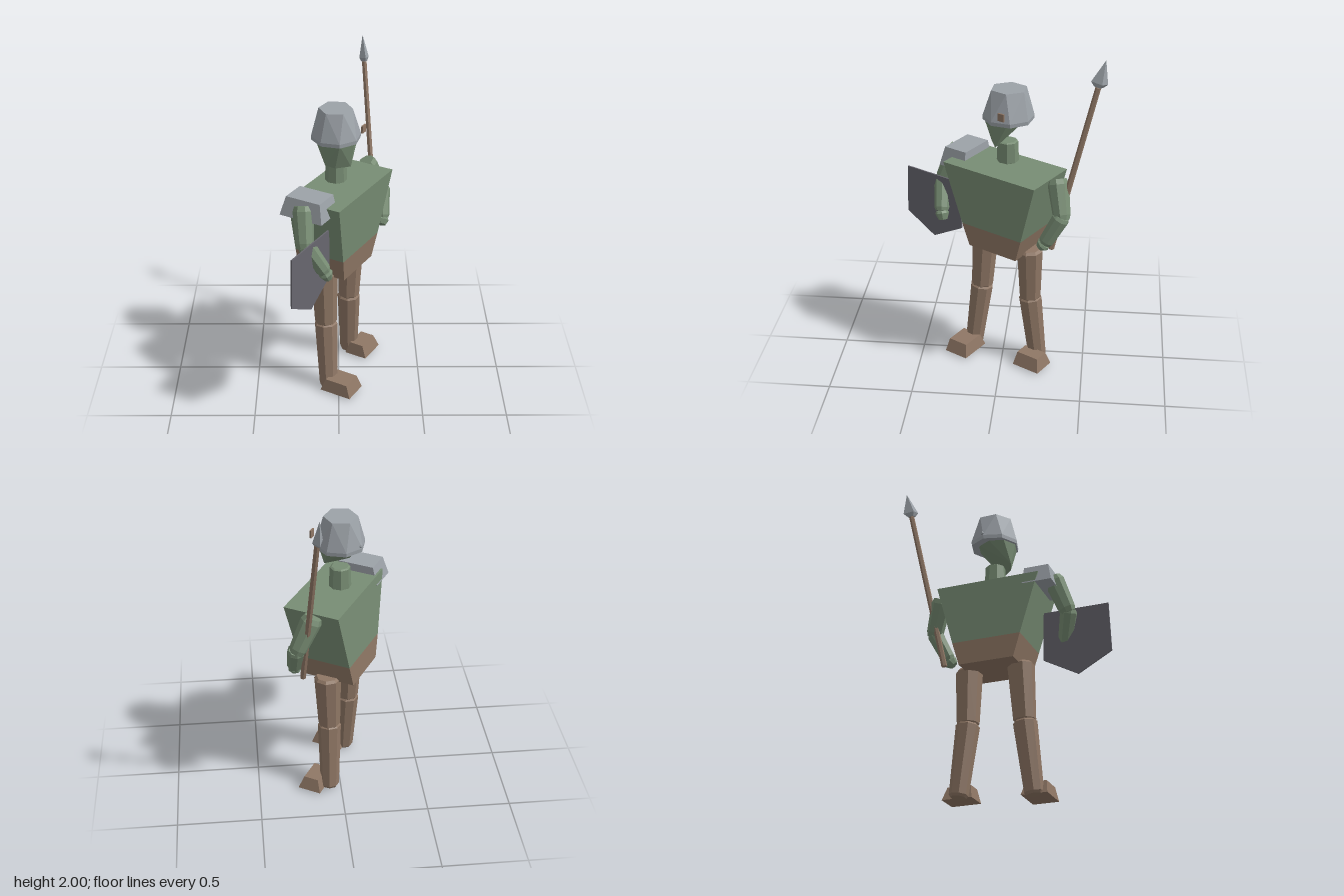
import * as THREE from 'three';
import { ConvexGeometry } from 'three/addons/geometries/ConvexGeometry.js';

const V = (x, y, z) => new THREE.Vector3(x, y, z);

function material(name, color) {
  const m = new THREE.MeshStandardMaterial({ color });
  m.name = name;
  return m;
}

export function createModel() {
  const green = material('green skin', 0x788d74);
  const brown = material('brown leather', 0x8f7765);
  const steel = material('pale steel', 0x9ca2a8);
  const iron = material('dark iron', 0x67666e);

  const model = new THREE.Group();
  model.name = 'spearGuard';
  // The body faces sixty degrees to the side, the head looks straight ahead
  const body = new THREE.Group();
  body.name = 'body';
  body.rotation.y = Math.PI / 3;
  model.add(body);

  function add(parent, name, geometry, mat) {
    const mesh = new THREE.Mesh(geometry, mat);
    mesh.name = name;
    parent.add(mesh);
    return mesh;
  }

  // Faceted solid from two rectangles [x0, x1, z0, z1] at two heights
  function block(name, y0, low, y1, high, mat) {
    const pts = [];
    for (const [y, r] of [[y0, low], [y1, high]])
      for (const x of [r[0], r[1]]) for (const z of [r[2], r[3]]) pts.push(V(x, y, z));
    return add(body, name, new ConvexGeometry(pts), mat);
  }

  // Ring of points around the y axis
  function ring(n, y, rx, rz = rx, phase = 0, cx = 0, cz = 0) {
    return Array.from({ length: n }, (_, i) => {
      const a = phase + (i / n) * Math.PI * 2;
      return V(cx + Math.sin(a) * rx, y, cz + Math.cos(a) * rz);
    });
  }

  // Eight-sided tapered limb with bevelled ends, from a to b
  function limb(name, a, b, r0, r1, mat, bevel = 0.015, sides = 8) {
    const start = V(...a), dir = V(...b).sub(start), len = dir.length();
    const pts = [
      ...ring(sides, 0, r0 * 0.82), ...ring(sides, bevel, r0),
      ...ring(sides, len - bevel, r1), ...ring(sides, len, r1 * 0.82),
    ];
    const mesh = add(model, name, new ConvexGeometry(pts), mat);
    mesh.position.copy(start);
    mesh.quaternion.setFromUnitVectors(V(0, 1, 0), dir.normalize());
    return mesh;
  }

  // Trunk
  const waist = [-0.197, 0.223, -0.18, 0.144];
  block('torso', 0.905, waist, 1.29, [-0.303, 0.336, -0.16, 0.178], green);
  block('pelvis', 0.76, [-0.157, 0.178, -0.185, 0.128], 0.905, waist, brown);

  // Shoulder guard
  block('shoulderGuard', 1.225, [-0.385, -0.205, -0.165, 0.11],
    1.338, [-0.36, -0.21, -0.135, 0.085], steel);

  // Feet
  block('rightFoot', 0.012, [-0.275, -0.118, 0.03, 0.233],
    0.09, [-0.262, -0.135, 0.06, 0.205], brown);
  block('leftFoot', 0.012, [0.152, 0.333, -0.035, 0.11],
    0.09, [0.165, 0.31, -0.01, 0.08], brown);

  // Legs
  const legs = [
    ['right', [-0.085, 0.785, 0.115], [-0.077, 0.425, 0.137], [-0.062, 0.008, 0.19]],
    ['left', [0.073, 0.785, -0.165], [0.064, 0.435, -0.17], [0.067, 0.008, -0.22]],
  ];
  for (const [side, hip, knee, ankle] of legs) {
    limb(side + 'Thigh', hip, knee, 0.08, 0.066, brown);
    limb(side + 'Shin', [knee[0], knee[1] + 0.015, knee[2]], ankle, 0.07, 0.056, brown);
  }

  // Arms
  const arms = [
    ['right', [-0.2, 1.3, 0.29], [-0.19, 1.08, 0.385], [-0.08, 0.925, 0.38], [-0.06, 0.875, 0.37]],
    ['left', [0.165, 1.29, -0.325], [0.265, 1.08, -0.36], [0.27, 0.93, -0.265], [0.265, 0.9, -0.235]],
  ];
  for (const [side, shoulder, elbow, wrist, hand] of arms) {
    limb(side + 'UpperArm', shoulder, elbow, 0.062, 0.052, green, 0.03);
    limb(side + 'Forearm', [elbow[0], elbow[1] + 0.025, elbow[2]], wrist, 0.052, 0.045, green, 0.02);
    limb(side + 'Hand', wrist, hand, 0.042, 0.032, green);
  }

  // Neck and wedge-shaped face
  limb('neck', [-0.015, 1.308, -0.025], [-0.015, 1.44, -0.025], 0.065, 0.06, green, 0.006);
  add(model, 'face', new ConvexGeometry([
    ...ring(8, 1.585, 0.125, 0.128, 0.14, -0.012, -0.015),
    V(-0.078, 1.442, 0.06), V(-0.02, 1.425, 0.068), V(0.07, 1.425, 0.04),
  ]), green);

  // Helmet: eight-sided rim rising to a six-sided crown
  add(model, 'helmet', new ConvexGeometry([
    ...ring(8, 1.572, 0.143, 0.147, 0.14, -0.015, -0.028),
    ...ring(8, 1.595, 0.145, 0.149, 0.14, -0.015, -0.028),
    ...ring(6, 1.757, 0.098, 0.108, 0.45, -0.017, -0.03),
  ]), steel);
  limb('helmetRivet', [-0.1, 1.61, -0.1], [-0.128, 1.61, -0.128], 0.012, 0.01, steel, 0.004, 6);
  const tab = add(body, 'visorTab', new THREE.BoxGeometry(0.04, 0.045, 0.01), brown);
  tab.position.set(0.071, 1.643, 0.123);

  // Shield: thin pentagonal plate
  const outline = [[-0.655, 1.13], [-0.665, 0.825], [-0.46, 0.71], [-0.25, 0.825], [-0.255, 1.13]];
  const shape = new THREE.Shape(outline.map(([x, y]) => new THREE.Vector2(x, y)));
  const shield = add(body, 'shield',
    new THREE.ExtrudeGeometry(shape, { depth: 0.009, bevelEnabled: false }), iron);
  shield.position.z = 0.075;

  // Spear
  const butt = [0.226, 0.87, -0.298], socket = [0.155, 1.85, -0.533];
  const shaft = limb('spearShaft', butt, socket, 0.018, 0.016, brown, 0.004, 6);
  const tip = add(model, 'spearHead', new ConvexGeometry([
    ...ring(4, 0, 0.018, 0.026, 0.3), ...ring(4, 0.024, 0.03, 0.05, 0.3), V(0, 0.157, 0),
  ]), steel);
  tip.position.set(...socket);
  tip.quaternion.copy(shaft.quaternion);

  return model;
}
